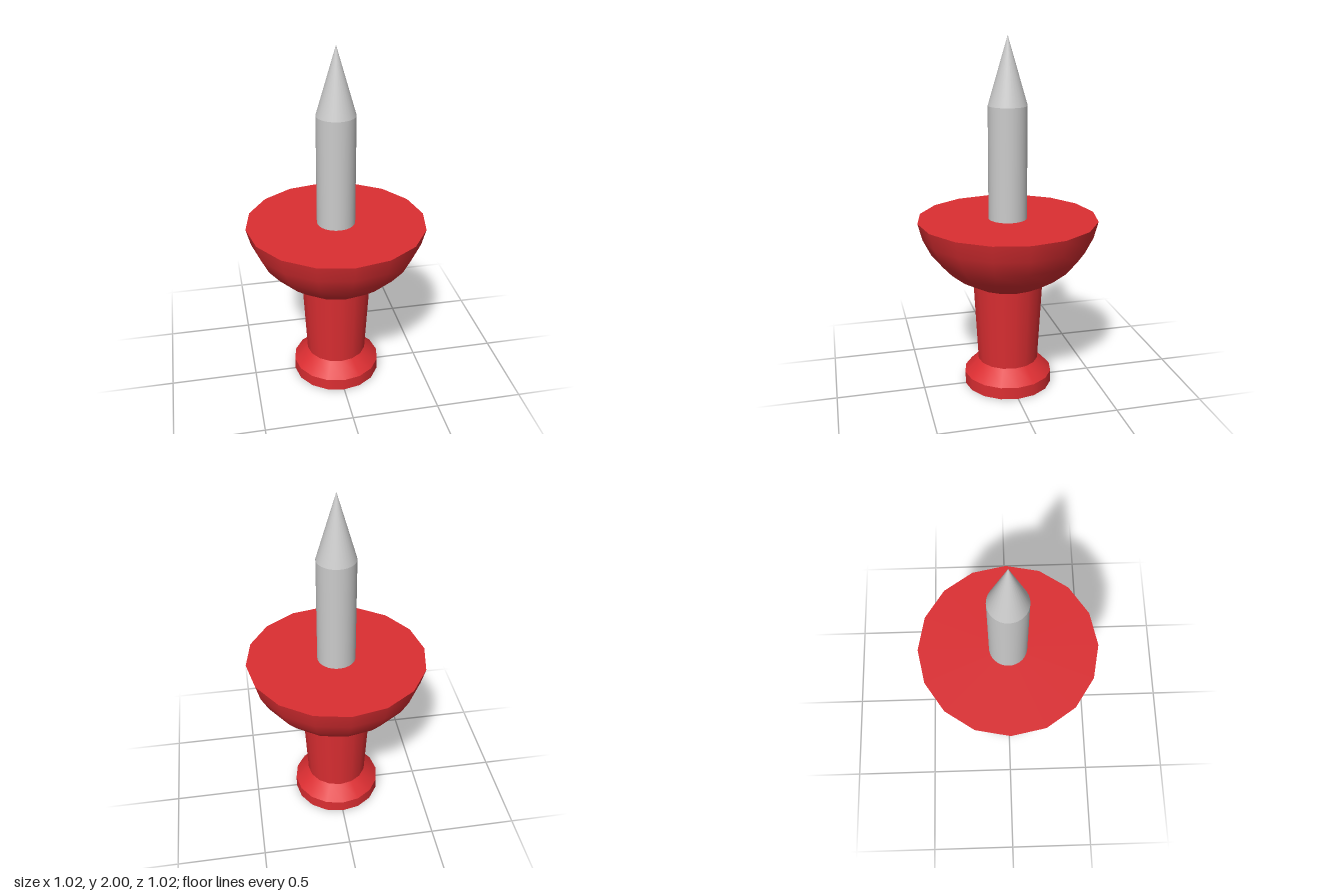
import * as THREE from 'three';

export function createModel() {
  const model = new THREE.Group();
  const red = new THREE.MeshStandardMaterial({ color: 0xdc2e32 });
  const grey = new THREE.MeshStandardMaterial({ color: 0xcccccc });

  // Adds a smooth turned band from [radius, height] points, listed bottom to top.
  function band(parent, name, points, sides, material) {
    const profile = points.map(([r, y]) => new THREE.Vector2(r, y));
    const mesh = new THREE.Mesh(new THREE.LatheGeometry(profile, sides), material);
    mesh.name = name;
    parent.add(mesh);
  }

  function part(name) {
    const group = new THREE.Group();
    group.name = name;
    model.add(group);
    return group;
  }

  // Foot: flat underside, straight rim and sloped shoulder
  const foot = part('foot');
  band(foot, 'footUnderside', [[0, 0], [0.255, 0]], 16, red);
  band(foot, 'footRim', [[0.255, 0], [0.255, 0.07]], 16, red);
  band(foot, 'footShoulder', [[0.255, 0.07], [0.175, 0.15]], 16, red);

  // Stem flaring gently upwards
  band(part('grip'), 'stem', [[0.175, 0.15], [0.2, 0.62]], 16, red);

  // Rounded bowl with a flat top
  const collar = part('collar');
  const bowl = [[0.2, 0.62], [0.293, 0.67], [0.373, 0.735], [0.438, 0.815], [0.483, 0.905], [0.508, 1]];
  band(collar, 'bowl', bowl, 16, red);
  band(collar, 'collarTop', [[0.508, 1], [0, 1]], 16, red);

  // Metal pin: shaft and sharp point
  const pin = part('pin');
  band(pin, 'pinShaft', [[0.108, 1], [0.108, 1.63]], 32, grey);
  band(pin, 'pinPoint', [[0.108, 1.63], [0, 2]], 32, grey);

  return model;
}
